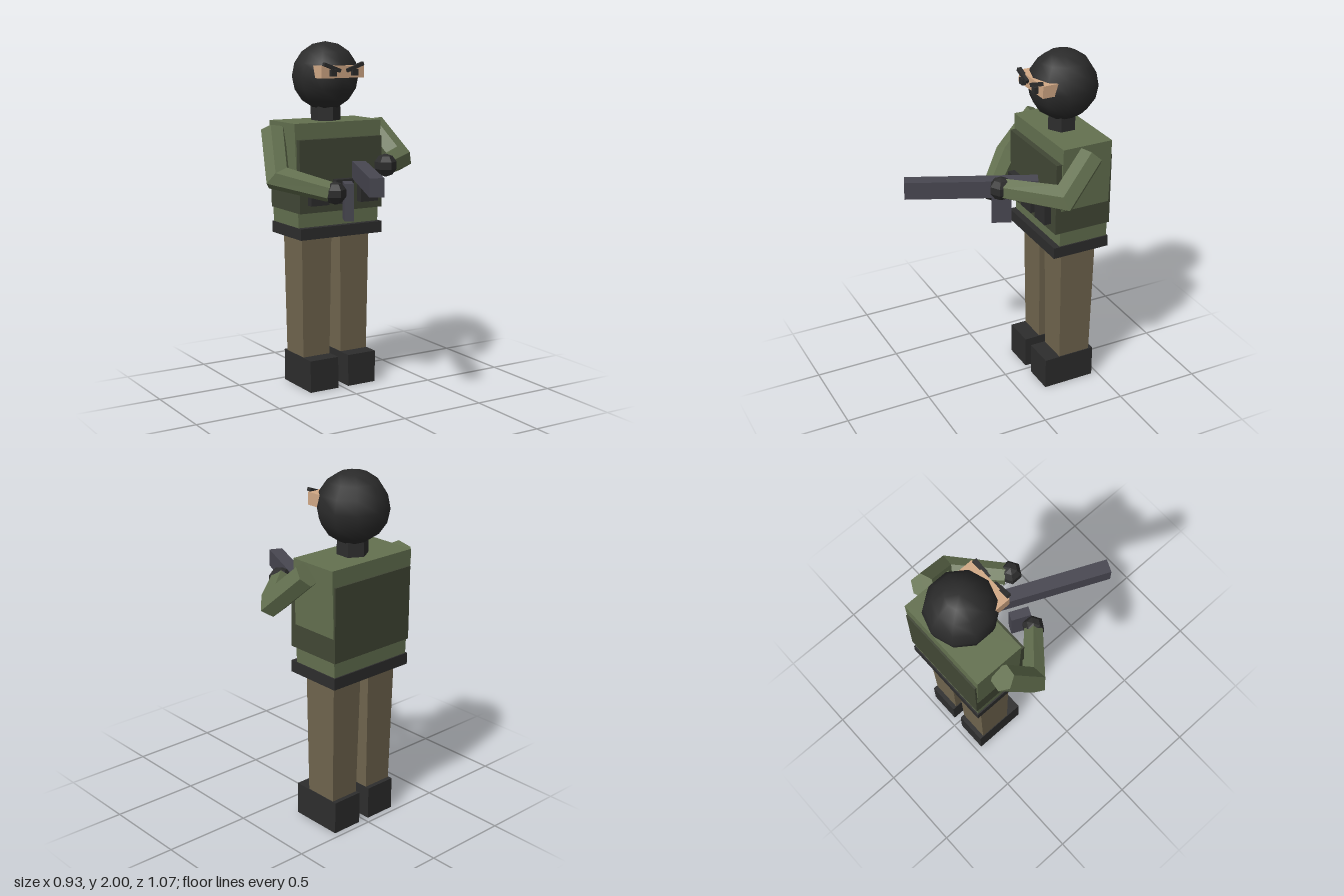
import * as THREE from 'three';

const mat = (name, color, flatShading = true) => {
  const m = new THREE.MeshStandardMaterial({ color, flatShading });
  m.name = name;
  return m;
};

export function createModel() {
  const green = mat('jacketGreen', 0x647150);
  const olive = mat('vestOlive', 0x414735);
  const khaki = mat('trouserKhaki', 0x70654e);
  const black = mat('gearBlack', 0x2d2d2d);
  const knit = mat('maskBlack', 0x2b2b2b, false);
  const skin = mat('skin', 0xd2a986);
  const metal = mat('gunGrey', 0x484751);

  const model = new THREE.Group();
  model.name = 'guard';
  const cx = 0.004; // centre line of the body
  const cz = -0.345; // depth of the body centre

  const add = (name, geo, material, x = 0, y = 0, z = 0) => {
    const mesh = new THREE.Mesh(geo, material);
    mesh.name = name;
    mesh.position.set(x, y, z);
    model.add(mesh);
    return mesh;
  };

  // Box given by its limits; the lower end may be scaled for a taper
  const block = (name, material, [x0, x1], [y0, y1], [z0, z1], taperX = 1, taperZ = 1) => {
    const geo = new THREE.BoxGeometry(x1 - x0, y1 - y0, z1 - z0);
    const p = geo.attributes.position;
    for (let i = 0; i < p.count; i++) {
      if (p.getY(i) < 0) p.setXYZ(i, p.getX(i) * taperX, p.getY(i), p.getZ(i) * taperZ);
    }
    geo.computeVertexNormals();
    return add(name, geo, material, (x0 + x1) / 2, (y0 + y1) / 2, (z0 + z1) / 2);
  };
  const around = (c, half) => [c - half, c + half];

  // Torso
  block('jacket', green, around(cx, 0.284), [0.94, 1.55], [-0.497, -0.2], 0.922);
  block('vest', olive, around(cx, 0.2705), [1.045, 1.46], [-0.508, -0.167]);
  block('belt', black, around(cx, 0.27), [0.895, 0.96], [-0.505, -0.162]);
  for (const i of [-1, 0, 1]) {
    block('pouch', black, around(cx + i * 0.162, 0.057), [1.09, 1.23], [-0.18, -0.126]);
  }

  // Legs and boots
  for (const s of [-1, 1]) {
    const x = cx + s * 0.126;
    block('leg', khaki, around(x, 0.097), [0.18, 0.9], around(-0.342, 0.108), 0.9, 0.9);
    block('boot', black, around(x, 0.092), [0, 0.187], [-0.465, -0.152]);
  }

  // Head and neck
  const turn = Math.PI / 2;
  add('neck', new THREE.CylinderGeometry(0.085, 0.085, 0.14, 6), black, cx, 1.58, cz);
  add('maskedHead', new THREE.SphereGeometry(0.195, 10, 8).rotateY(turn), knit, cx, 1.803, cz);

  // Face opening with eyes and frowning brows
  block('face', skin, around(cx, 0.139), [1.798, 1.867], [-0.26, -0.15]);
  for (const s of [-1, 1]) {
    block('eye', black, around(cx + s * 0.07, 0.018), [1.81, 1.846], [-0.155, -0.126]);
    const brow = block('brow', black, around(cx + s * 0.075, 0.056), [1.848, 1.868], [-0.157, -0.132]);
    brow.rotation.z = s * 0.35;
  }

  // Hexagonal sleeve from shoulder to wrist with a mitred elbow
  const sleeve = (name, points, r0, r1, r2) => {
    const [a, b, c] = points.map((p) => new THREE.Vector3(...p));
    const d1 = b.clone().sub(a).normalize();
    const d2 = c.clone().sub(b).normalize();
    const n = d1.clone().add(d2).normalize();
    const side = new THREE.Vector3(0, 1, 0).cross(d2).normalize();
    const up = d2.clone().cross(side);
    const rings = [[], [], []];
    for (let j = 0; j < 6; j++) {
      const t = (j * Math.PI) / 3;
      const w = side.clone().multiplyScalar(Math.sin(t) * -1).addScaledVector(up, Math.cos(t));
      const elbow = w.clone().addScaledVector(d2, -w.dot(n) / d2.dot(n));
      const top = elbow.clone().addScaledVector(d1, -elbow.dot(d1));
      rings[0].push(a.clone().addScaledVector(top, r0));
      rings[1].push(b.clone().addScaledVector(elbow, r1));
      rings[2].push(c.clone().addScaledVector(w, r2));
    }
    const tris = [];
    for (let j = 0; j < 6; j++) {
      const k = (j + 1) % 6;
      for (let i = 0; i < 2; i++) {
        const [p, q] = [rings[i], rings[i + 1]];
        tris.push(p[j], p[k], q[j], p[k], q[k], q[j]);
      }
      tris.push(a, rings[0][k], rings[0][j], c, rings[2][j], rings[2][k]);
    }
    const geo = new THREE.BufferGeometry().setFromPoints(tris);
    geo.computeVertexNormals();
    add(name, geo, green);
  };
  sleeve('leftArm', [[0.325, 1.505, -0.347], [0.385, 1.322, -0.155], [0.145, 1.322, 0.07]], 0.072, 0.073, 0.06);
  sleeve('rightArm', [[-0.325, 1.5, -0.37], [-0.385, 1.255, -0.205], [-0.165, 1.185, -0.005]], 0.072, 0.07, 0.058);

  // Gloves
  const glove = new THREE.SphereGeometry(0.065, 6, 5).rotateY(turn);
  add('leftHand', glove, black, 0.132, 1.325, 0.094);
  add('rightHand', glove, black, -0.145, 1.18, 0.012);

  // Rifle, slanting across the body
  const slant = -0.427;
  const gun = add('rifleBody', new THREE.BoxGeometry(0.077, 0.1, 0.73), metal, -0.044, 1.275, 0.186);
  gun.rotation.y = slant;
  const mag = add('rifleMagazine', new THREE.BoxGeometry(0.052, 0.21, 0.112), metal, -0.052, 1.125, -0.002);
  mag.rotation.y = slant;

  return model;
}
